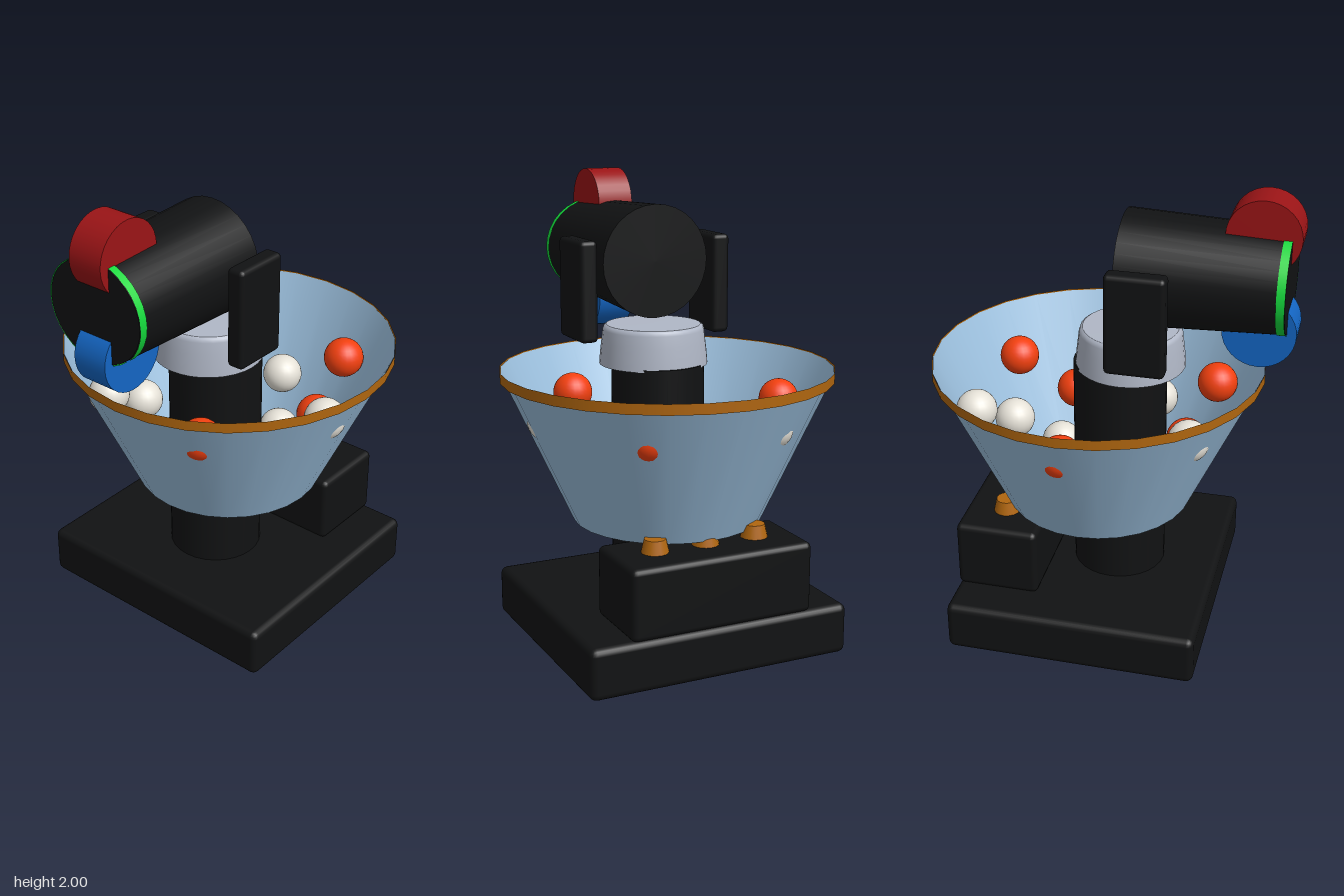
import * as THREE from 'three';
import { RoundedBoxGeometry } from 'three/addons/geometries/RoundedBoxGeometry.js';

const mat = (color, side = THREE.FrontSide) => new THREE.MeshStandardMaterial({ color, side });

export function createModel() {
  const model = new THREE.Group();
  const black = mat(0x111213);
  const orange = mat(0xb0660f);

  const add = (name, geometry, material, x, y, z) => {
    const mesh = new THREE.Mesh(geometry, material);
    mesh.name = name;
    mesh.position.set(x, y, z);
    model.add(mesh);
    return mesh;
  };
  const box = (name, w, h, d, r, x, y, z) =>
    add(name, new RoundedBoxGeometry(w, h, d, 2, r), black, x, y, z);

  // Base, motor housing and its knobs
  box('base', 1.18, 0.22, 1.09, 0.03, 0, 0.113, -0.058);
  box('motorHousing', 0.82, 0.305, 0.36, 0.025, 0, 0.373, -0.422);
  for (const x of [-0.23, 0, 0.23])
    add('knob', new THREE.CylinderGeometry(0.045, 0.06, 0.065, 16), orange, x, 0.55, -0.422);

  // Central column and turret cap
  add('column', new THREE.CylinderGeometry(0.2, 0.203, 1.0, 28), black, 0, 0.71, 0.035);
  const capProfile = [
    [0, 1.2], [0.235, 1.2], [0.235, 1.2], [0.231, 1.25], [0.225, 1.3], [0.219, 1.35],
    [0.214, 1.364], [0.204, 1.371], [0.204, 1.371], [0, 1.372],
  ].map(([r, y]) => new THREE.Vector2(r, y));
  add('turretCap', new THREE.LatheGeometry(capProfile, 32), mat(0xb0b7c6), 0, 0, 0.08);

  // Open hopper with a thin rim band
  const hopperZ = -0.058;
  add('hopper', new THREE.CylinderGeometry(0.71, 0.408, 0.655, 28, 1, true),
    mat(0x9cc0de, THREE.DoubleSide), 0, 0.8775, hopperZ);
  add('hopperRim', new THREE.CylinderGeometry(0.713, 0.712, 0.045, 28, 1, true),
    mat(0xb0660f, THREE.DoubleSide), 0, 1.1875, hopperZ);

  // Balls in three staggered rings of six, alternating in colour
  const ballGeometry = new THREE.SphereGeometry(0.088, 24, 16);
  const ballColors = [mat(0xe6e2d8), mat(0xf2400f)];
  const rings = [
    { radius: 0.24, y: 0.7, start: -60 },
    { radius: 0.387, y: 0.86, start: -90 },
    { radius: 0.535, y: 1.02, start: -117 },
  ];
  for (const { radius, y, start } of rings)
    for (let i = 0; i < 6; i++) {
      const a = THREE.MathUtils.degToRad(start + i * 60);
      add('ball', ballGeometry, ballColors[i % 2],
        radius * Math.cos(a), y, hopperZ + radius * Math.sin(a));
    }

  // Launcher barrel, tapering to a slightly oval muzzle
  const headY = 1.64;
  const barrel = new THREE.CylinderGeometry(0.213, 0.243, 0.685, 32);
  barrel.rotateX(Math.PI / 2);
  const p = barrel.attributes.position;
  for (let i = 0; i < p.count; i++) if (p.getZ(i) > 0) p.setX(i, p.getX(i) * 1.08);
  add('barrel', barrel, black, 0, headY, 0.3975);

  // Bright band round the muzzle
  const band = new THREE.CylinderGeometry(0.217, 0.218, 0.035, 32, 1, true);
  band.rotateX(Math.PI / 2);
  band.scale(1.08, 1, 1);
  add('muzzleBand', band, mat(0x14d83c, THREE.DoubleSide), 0, headY, 0.7225);

  // Upper and lower throwing wheels
  const wheel = new THREE.CylinderGeometry(0.153, 0.153, 0.16, 32);
  wheel.rotateZ(Math.PI / 2);
  add('upperWheel', wheel, mat(0x9a1416), 0, 1.847, 0.627);
  add('lowerWheel', wheel, mat(0x1466c4), 0, 1.436, 0.627);

  // Side plates flanking the barrel
  for (const s of [-1, 1]) box('sidePlate', 0.08, 0.43, 0.25, 0.02, s * 0.31, 1.527, 0.167);

  return model;
}
